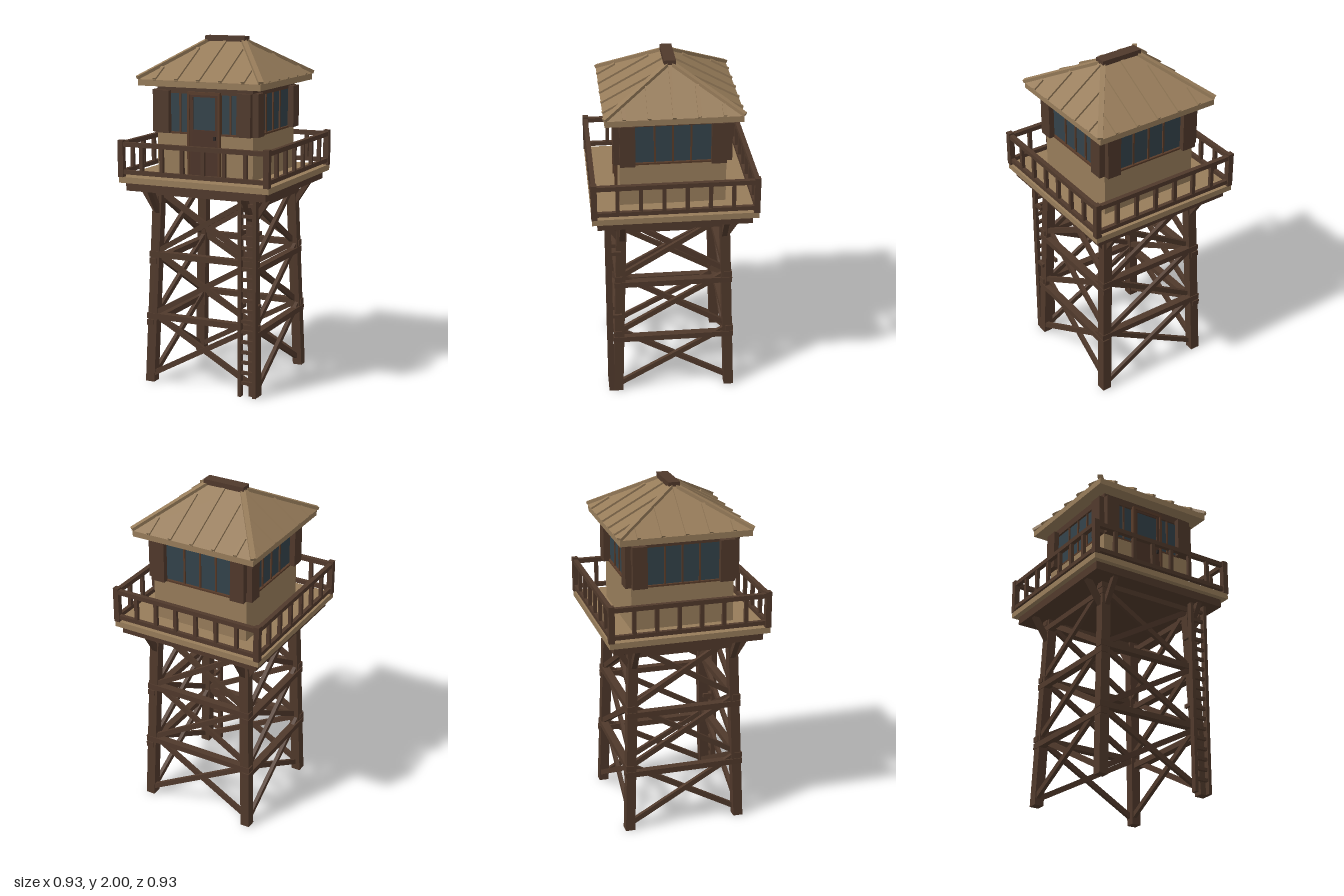
import * as THREE from 'three';

const mat = (name, color) => {
  const m = new THREE.MeshStandardMaterial({ color });
  m.name = name;
  return m;
};

export function createModel() {
  const timber = mat('timber', 0x50392b);
  const tan = mat('tan boards', 0x977c5a);
  const glass = mat('window glass', 0x33424a);
  const frame = mat('window frame', 0x583b29);
  const doorMat = mat('door wood', 0x4d3428);
  const iron = mat('iron', 0x2a2422);

  const model = new THREE.Group();
  model.name = 'lookoutTower';
  const group = (name, parent = model) => {
    const g = new THREE.Group();
    g.name = name;
    parent.add(g);
    return g;
  };
  const add = (parent, name, geo, material) => {
    const m = new THREE.Mesh(geo, material);
    m.name = name;
    parent.add(m);
    return m;
  };
  // box given by its centre and size
  const box = (parent, name, material, [x, y, z], [w, h, d]) =>
    add(parent, name, new THREE.BoxGeometry(w, h, d).translate(x, y, z), material);
  // straight bar between two points, w wide (level) and h deep
  const up = new THREE.Vector3(0, 1, 0);
  const bar = (parent, name, material, a, b, w, h) => {
    const p = new THREE.Vector3(...a), q = new THREE.Vector3(...b);
    const turn = new THREE.Matrix4().lookAt(q, p, up);
    const geo = new THREE.BoxGeometry(w, h, p.distanceTo(q)).applyMatrix4(turn);
    p.add(q).multiplyScalar(0.5);
    return add(parent, name, geo.translate(p.x, p.y, p.z), material);
  };
  // run a builder once for each of the four sides, front first
  const sides = (name, build) => {
    for (let i = 0; i < 4; i++) {
      const g = group(name);
      g.rotation.y = i * Math.PI / 2;
      build(g, i);
    }
  };

  // Legs: upright boxes sheared towards the middle
  const reach = y => 0.33 - 0.035 * y;
  for (const sx of [-1, 1]) for (const sz of [-1, 1]) {
    const geo = new THREE.BoxGeometry(0.056, 1.14, 0.056).translate(0, 0.57, 0);
    const p = geo.attributes.position;
    for (let i = 0; i < p.count; i++) {
      const r = reach(p.getY(i));
      p.setXYZ(i, p.getX(i) + sx * r, p.getY(i), p.getZ(i) + sz * r);
    }
    geo.computeVertexNormals();
    add(model, 'leg', geo, timber);
    // knee braces under the deck
    bar(model, 'kneeBrace', timber, [sx * 0.29, 0.98, sz * 0.29], [sx * 0.405, 1.155, sz * 0.29], 0.03, 0.03);
    bar(model, 'kneeBrace', timber, [sx * 0.29, 0.98, sz * 0.29], [sx * 0.29, 1.155, sz * 0.405], 0.03, 0.03);
  }

  // Cross bracing and level beams, three bays on each side
  sides('bracing', (g, i) => {
    for (let bay = 0; bay < 3; bay++) {
      const y0 = bay * 0.365 + 0.04, y1 = y0 + 0.355;
      const r0 = reach(y0), r1 = reach(y1);
      for (const s of [-1, 1])
        bar(g, 'diagonalBrace', timber, [-s * r0, y0, r0 + s * 0.011], [s * r1, y1, r1 + s * 0.011], 0.022, 0.03);
      const y = (bay + 1) * 0.365 + (i % 2 ? -0.01 : 0.03);
      const r = reach(y);
      box(g, 'levelBeam', timber, [0, y, r + 0.01], [2 * (r + 0.034), 0.033, 0.044]);
    }
  });

  // Ladder at the front left leg
  const ladder = group('ladder');
  for (const x of [0.255, 0.346]) {
    box(ladder, 'ladderRail', timber, [x, 0.575, 0.369], [0.02, 1.15, 0.032]);
    for (const y of [0.52, 0.94]) box(ladder, 'ladderBracket', timber, [x, y, 0.335], [0.016, 0.022, 0.07]);
  }
  for (let i = 0; i < 18; i++)
    box(ladder, 'rung', timber, [0.3, 0.08 + i * 0.06, 0.369], [0.09, 0.018, 0.018]);

  // Deck
  box(model, 'deckFrame', timber, [0, 1.165, 0], [0.86, 0.05, 0.86]);
  box(model, 'deck', tan, [0, 1.205, 0], [0.92, 0.034, 0.92]);

  // Railing
  sides('railing', g => {
    box(g, 'cornerPost', timber, [0.447, 1.326, 0.447], [0.033, 0.21, 0.033]);
    box(g, 'topRail', timber, [0, 1.408, 0.447], [0.87, 0.026, 0.026]);
    box(g, 'bottomRail', timber, [0, 1.25, 0.447], [0.87, 0.024, 0.022]);
    for (let k = 0; k < 6; k++)
      box(g, 'baluster', timber, [(k - 2.5) * 0.1275, 1.328, 0.447], [0.021, 0.14, 0.02]);
  });

  // Cabin
  box(model, 'lowerWall', tan, [0, 1.344, 0], [0.59, 0.245, 0.59]);
  box(model, 'glazing', glass, [0, 1.58, 0], [0.566, 0.23, 0.566]);
  box(model, 'topPlate', timber, [0, 1.715, 0], [0.59, 0.046, 0.59]);
  sides('cabinSide', (g, i) => {
    box(g, 'cabinPost', timber, [0.262, 1.58, 0.262], [0.064, 0.226, 0.064]);
    box(g, 'sill', frame, [0, 1.469, 0.287], [0.47, 0.01, 0.02]);
    for (const s of [-1, 1]) box(g, 'shutter', timber, [s * 0.251, 1.588, 0.311], [0.084, 0.24, 0.032]);
    for (const x of i ? [-0.1, 0, 0.1] : [-0.155, 0.155])
      box(g, 'mullion', frame, [x, 1.583, 0.284], [0.01, 0.22, 0.014]);
  });

  // Door on the front, with a glazed upper half
  const door = group('door');
  const outline = points => points.map(p => new THREE.Vector2(...p));
  const leaf = new THREE.Shape(outline([[-0.088, 1.223], [0.088, 1.223], [0.088, 1.69], [-0.088, 1.69]]));
  leaf.holes.push(new THREE.Path(outline([[-0.068, 1.493], [-0.068, 1.677], [0.068, 1.677], [0.068, 1.493]])));
  add(door, 'doorLeaf', new THREE.ExtrudeGeometry(leaf, { depth: 0.03, bevelEnabled: false }).translate(0, 0, 0.275), doorMat);
  box(door, 'doorGlass', glass, [0, 1.585, 0.294], [0.136, 0.184, 0.008]);
  for (const s of [-1, 1]) box(door, 'doorJamb', frame, [s * 0.094, 1.46, 0.295], [0.014, 0.475, 0.034]);
  box(door, 'doorHead', frame, [0, 1.697, 0.295], [0.202, 0.016, 0.034]);
  box(door, 'doorHandle', iron, [0.068, 1.45, 0.31], [0.012, 0.02, 0.014]);

  // Hipped roof
  const e = 0.38, y0 = 1.77, y1 = 1.98, ridge = 0.1;
  const A = [-e, y0, e], B = [e, y0, e], C = [e, y0, -e], D = [-e, y0, -e];
  const L = [-ridge, y1, 0], R = [ridge, y1, 0];
  const roofGeo = new THREE.BufferGeometry();
  roofGeo.setAttribute('position', new THREE.Float32BufferAttribute(
    [A, B, R, A, R, L, B, C, R, C, D, L, C, L, R, D, A, L].flat(), 3));
  roofGeo.computeVertexNormals();
  const roof = group('roof');
  add(roof, 'roofSlopes', roofGeo, tan);
  box(roof, 'eaves', tan, [0, 1.752, 0], [2 * e - 0.01, 0.036, 2 * e - 0.01]);
  box(roof, 'ridgeCap', timber, [0, 1.985, 0], [0.25, 0.03, 0.066]);
  for (const sx of [-1, 1]) for (const sz of [-1, 1])
    bar(roof, 'hipCap', tan, [sx * 0.378, y0 + 0.008, sz * 0.378], [sx * ridge, y1 + 0.004, 0], 0.028, 0.018);

  // Raised seams, each stopping short of the hips
  const rise = y1 - y0;
  for (const s of [-1, 1]) for (let k = -2; k <= 2; k++) {
    const c = k * 0.135;
    const zEnd = [0.03, 0.095, 0.275][Math.abs(k)];
    const xEnd = [0.12, 0.22, 0.322][Math.abs(k)];
    const yz = z => y0 + rise * (e - z) / e + 0.003;
    const yx = x => y0 + rise * (e - x) / (e - ridge) + 0.003;
    bar(roof, 'roofSeam', tan, [c, yz(e), s * e], [c, yz(zEnd), s * zEnd], 0.02, 0.016);
    bar(roof, 'roofSeam', tan, [s * e, yx(e), c], [s * xEnd, yx(xEnd), c], 0.02, 0.016);
  }
  return model;
}
